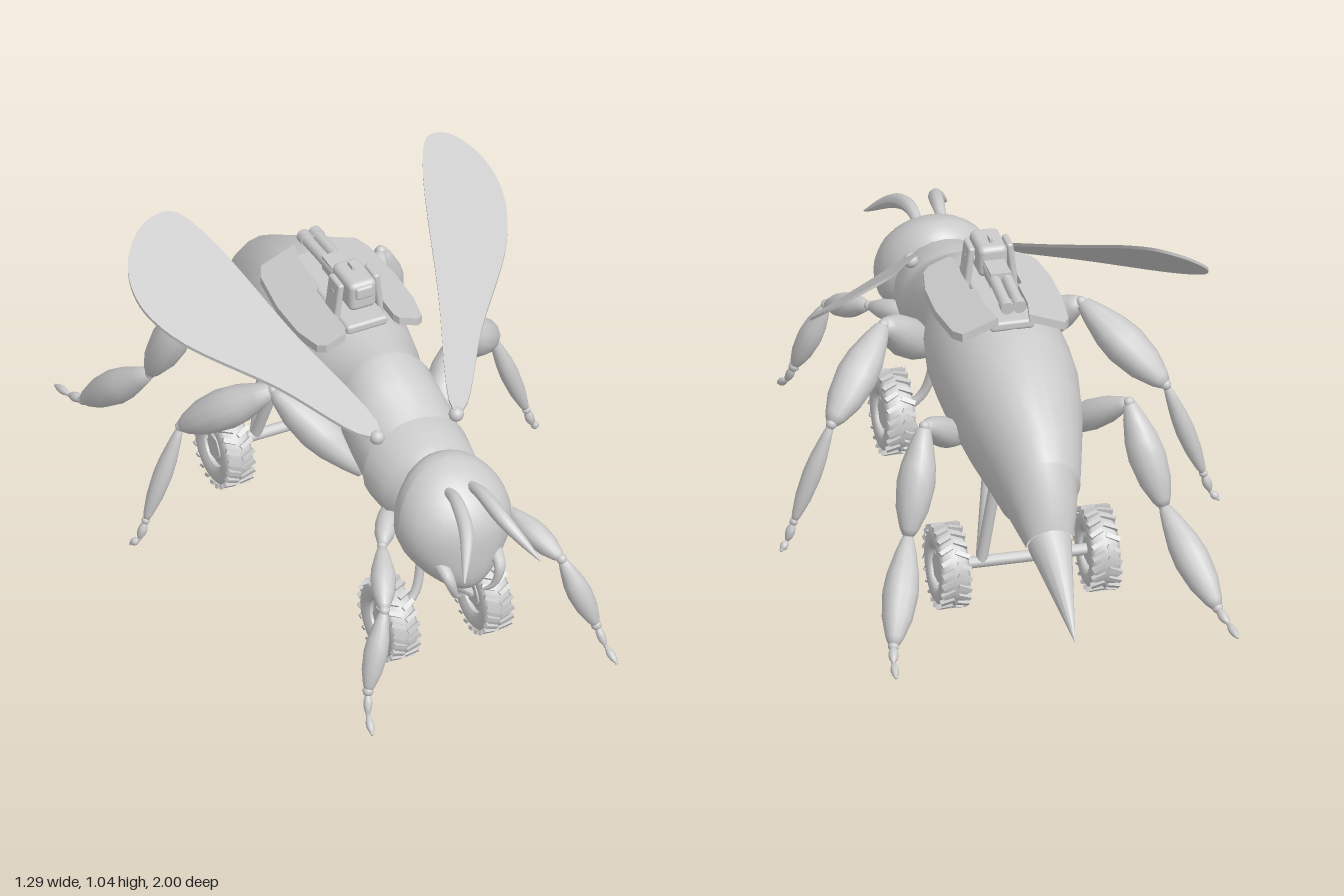
import * as THREE from 'three';
import { RoundedBoxGeometry } from 'three/addons/geometries/RoundedBoxGeometry.js';

const grey = new THREE.MeshStandardMaterial({ color: 0xcccccc });
const thin = new THREE.MeshStandardMaterial({ color: 0xcccccc, side: THREE.DoubleSide });
const V = (p) => new THREE.Vector3(...p);

function add(parent, name, geometry, position = [0, 0, 0], material = grey) {
  const mesh = new THREE.Mesh(geometry, material);
  mesh.name = name;
  mesh.position.set(...position);
  parent.add(mesh);
  return mesh;
}

// Places a unit-high, y-aligned geometry so that it runs from a to b
function between(parent, name, geometry, a, b) {
  const dir = V(b).sub(V(a));
  const mesh = add(parent, name, geometry, a);
  mesh.scale.y = dir.length();
  mesh.quaternion.setFromUnitVectors(new THREE.Vector3(0, 1, 0), dir.normalize());
  return mesh;
}

const rod = (parent, name, a, b, r, r2 = r) =>
  between(parent, name, new THREE.CylinderGeometry(r2, r, 1, 12).translate(0, 0.5, 0), a, b);

// Swollen limb segment
function spindle(parent, name, a, b, r) {
  const profile = [[0, 0], [0.35, 0.02], [0.6, 0.15], [0.9, 0.35], [1, 0.52], [0.85, 0.75], [0.5, 0.93], [0.3, 0.99], [0, 1]];
  return between(parent, name, new THREE.LatheGeometry(profile.map(([x, y]) => new THREE.Vector2(x * r, y)), 12), a, b);
}

// Tube whose radius follows a rule along its length
function taperedTube(parent, name, points, r, rule) {
  const path = new THREE.CatmullRomCurve3(points.map(V)), n = 18, k = 10;
  const g = new THREE.TubeGeometry(path, n, r, k), pos = g.attributes.position, v = new THREE.Vector3();
  for (let i = 0; i < pos.count; i++) {
    const t = Math.floor(i / (k + 1)) / n, c = path.getPointAt(t);
    v.fromBufferAttribute(pos, i).sub(c).multiplyScalar(rule(t)).add(c);
    pos.setXYZ(i, v.x, v.y, v.z);
  }
  g.computeVertexNormals();
  return add(parent, name, g, [0, 0, 0], thin);
}

// Thin sheet outlined in plan (x, z) and lifted on to a sloping plane
function sheet(parent, name, outline, thickness, height) {
  const g = new THREE.ExtrudeGeometry(new THREE.Shape(outline), { depth: thickness, bevelEnabled: false });
  const pos = g.attributes.position;
  for (let i = 0; i < pos.count; i++) {
    const x = pos.getX(i), z = pos.getY(i);
    pos.setXYZ(i, x, height(x, z) - pos.getZ(i), z);
  }
  g.computeVertexNormals();
  return add(parent, name, g, [0, 0, 0], thin);
}

// Elliptical sections: z, y, half width, half height, tilt
function bodyGeometry() {
  const rows = [
    [0.56, 0.52, 0.09, 0.12, 0], [0.53, 0.53, 0.15, 0.145, 0], [0.42, 0.545, 0.165, 0.147, 0],
    [0.415, 0.547, 0.157, 0.14, 0], [0.33, 0.585, 0.158, 0.155, 0], [0.24, 0.615, 0.15, 0.177, 0],
    [0.2, 0.61, 0.137, 0.175, 0], [0.1, 0.6, 0.17, 0.198, 0], [0, 0.6, 0.19, 0.205, 0],
    [-0.15, 0.6, 0.2, 0.212, 0], [-0.28, 0.585, 0.193, 0.212, 0.1], [-0.4, 0.545, 0.172, 0.207, 0.22],
    [-0.53, 0.48, 0.135, 0.18, 0.4], [-0.59, 0.44, 0.117, 0.153, 0.45], [-0.595, 0.437, 0.108, 0.145, 0.45],
    [-0.65, 0.395, 0.092, 0.112, 0.5], [-0.7, 0.335, 0.068, 0.062, 0.5]];
  const n = 24, positions = [], index = [];
  rows.forEach(([z, y, rx, ry, t], i) => {
    for (let j = 0; j < n; j++) {
      const a = j / n * Math.PI * 2, h = ry * Math.cos(a);
      positions.push(rx * Math.sin(a), y + h * Math.cos(t), z - h * Math.sin(t));
      if (i === rows.length - 1) continue;
      const p = i * n + j, q = i * n + (j + 1) % n;
      index.push(p, q, p + n, q, q + n, p + n);
    }
  });
  const g = new THREE.BufferGeometry();
  g.setAttribute('position', new THREE.Float32BufferAttribute(positions, 3));
  g.setIndex(index);
  g.computeVertexNormals();
  return g;
}

// Egg-shaped head, narrowing downward to the mouth
function headGeometry() {
  const g = new THREE.SphereGeometry(1, 24, 18), pos = g.attributes.position;
  for (let i = 0; i < pos.count; i++) {
    const x = pos.getX(i), y = pos.getY(i), z = pos.getZ(i), low = Math.min(y, 0) ** 2;
    pos.setXYZ(i, x * 0.173 * (1 - 0.3 * low), y * 0.185, z * 0.145 + 0.07 * low - 0.05 * Math.max(y, 0) ** 2);
  }
  g.computeVertexNormals();
  return g;
}

// Knobbly off-road wheel, axle along x
function wheel(parent, name, x, y, z) {
  const g = new THREE.Group();
  g.name = name;
  g.position.set(x, y, z);
  parent.add(g);
  const tyre = [[0.06, -0.032], [0.075, -0.043], [0.1, -0.043], [0.114, -0.032], [0.117, 0],
    [0.114, 0.032], [0.1, 0.043], [0.075, 0.043], [0.06, 0.032], [0.06, -0.032]].map((p) => new THREE.Vector2(...p));
  add(g, 'tyre', new THREE.LatheGeometry(tyre, 32).rotateZ(-Math.PI / 2));
  add(g, 'rim', new THREE.CylinderGeometry(0.062, 0.062, 0.04, 24).rotateZ(Math.PI / 2));
  add(g, 'hub', new THREE.CylinderGeometry(0.04, 0.045, 0.066, 6).rotateZ(Math.PI / 2));
  for (let i = 0; i < 22; i++) for (const s of [-1, 1]) {
    const lug = new THREE.BoxGeometry(0.042, 0.014, 0.013).rotateY(s * 0.45).translate(s * 0.023, 0.116, 0);
    add(g, 'treadLug', lug.rotateX((i + (s > 0 ? 0.5 : 0)) / 22 * Math.PI * 2));
  }
}

export function createModel() {
  const model = new THREE.Group();
  model.name = 'wheeledWasp';
  add(model, 'body', bodyGeometry());
  add(model, 'head', headGeometry(), [0, 0.507, 0.665]);
  rod(model, 'stinger', [0, 0.335, -0.7], [0, 0.17, -1], 0.065, 0.001);

  // Leg joints from hip to toe, with the thickness of each segment
  const legs = {
    frontLeg: [[[0.1, 0.47, 0.47], [0.2, 0.44, 0.62], [0.28, 0.36, 0.8], [0.36, 0.14, 0.86], [0.375, 0.08, 0.89], [0.385, 0.05, 0.94]],
      [0.033, 0.037, 0.036, 0.013, 0.012]],
    middleLeg: [[[0.1, 0.45, 0.3], [0.29, 0.665, 0.09], [0.49, 0.47, -0.1], [0.6, 0.17, -0.1], [0.62, 0.11, -0.1], [0.64, 0.09, -0.115]],
      [0.06, 0.062, 0.028, 0.014, 0.012]],
    hindLeg: [[[0.13, 0.43, -0.2], [0.3, 0.61, -0.43], [0.375, 0.32, -0.54], [0.475, 0.1, -0.77], [0.49, 0.08, -0.83], [0.5, 0.07, -0.9]],
      [0.045, 0.056, 0.052, 0.015, 0.012]],
  };

  for (const s of [-1, 1]) {
    const side = new THREE.Group();
    side.name = s > 0 ? 'leftSide' : 'rightSide';
    model.add(side);
    const m = ([x, y, z]) => [s * x, y, z];

    for (const [name, [joints, radii]] of Object.entries(legs)) {
      const leg = new THREE.Group();
      leg.name = name;
      side.add(leg);
      radii.forEach((r, i) => {
        spindle(leg, 'legSegment', m(joints[i]), m(joints[i + 1]), r);
        add(leg, 'legJoint', new THREE.SphereGeometry(Math.min(r * 0.45, 0.016), 10, 8), m(joints[i + 1]));
      });
    }

    taperedTube(side, 'antenna', [[0.035, 0.64, 0.7], [0.04, 0.655, 0.77], [0.06, 0.625, 0.88], [0.12, 0.54, 0.995]].map(m),
      0.019, (t) => 0.7 + 0.5 * Math.sin(t * Math.PI) - 0.55 * t ** 3);
    taperedTube(side, 'mandible', [[0.085, 0.44, 0.75], [0.08, 0.41, 0.81], [0.06, 0.35, 0.81], [0.035, 0.325, 0.79]].map(m),
      0.026, (t) => 1 - 0.85 * t);

    // Wing and its root joint
    const outline = new THREE.CatmullRomCurve3([[0.115, 0, 0.43], [0.23, 0, 0.09], [0.355, 0, -0.27], [0.41, 0, -0.345],
      [0.49, 0, -0.355], [0.56, 0, -0.3], [0.578, 0, -0.21], [0.53, 0, -0.08], [0.32, 0, 0.19], [0.15, 0, 0.425]].map(V), true);
    sheet(side, 'wing', outline.getPoints(60).slice(0, -1).map((p) => new THREE.Vector2(s * p.x, p.z)), 0.01,
      (x, z) => 0.69 - 0.466 * (s * x - 0.13) - 0.626 * (z - 0.43));
    add(side, 'wingJoint', new THREE.SphereGeometry(0.022, 14, 10), m([0.125, 0.675, 0.43]));

    // Back panel beside the turret
    sheet(side, 'backPanel', [[0.045, -0.28], [0.15, -0.28], [0.17, -0.24], [0.185, -0.1], [0.183, 0.03], [0.165, 0.12],
      [0.145, 0.14], [0.085, 0.14], [0.075, 0.12], [0.075, -0.07], [0.06, -0.09], [0.06, -0.2]]
      .map(([x, z]) => new THREE.Vector2(s * x, z)), 0.025, (x) => 0.835 - 0.38 * (s * x - 0.08));

    // Turret side bracket
    const bracket = add(side, 'turretBracket', new RoundedBoxGeometry(0.02, 0.15, 0.07, 2, 0.008), m([0.064, 0.86, 0.02]));
    bracket.rotation.z = s * 0.12;

    // Undercarriage
    wheel(side, 'frontWheel', s * 0.147, 0.125, 0.555);
    wheel(side, 'rearWheel', s * 0.22, 0.125, -0.38);
    taperedTube(side, 'frontFork', [[0.022, 0.38, 0.525], [0.035, 0.27, 0.53], [0.06, 0.18, 0.545], [0.115, 0.125, 0.555]].map(m), 0.014, () => 1);
    rod(side, 'rearStrut', m([0.07, 0.45, -0.28]), m([0.12, 0.13, -0.38]), 0.017);
    rod(side, 'rearStrut', m([0.07, 0.47, -0.4]), m([0.12, 0.13, -0.38]), 0.017);
  }

  add(model, 'forkMount', new RoundedBoxGeometry(0.08, 0.06, 0.06, 2, 0.01), [0, 0.385, 0.525]);
  rod(model, 'rearAxle', [-0.2, 0.125, -0.38], [0.2, 0.125, -0.38], 0.017);

  // Turret: base, housing, sight and rear-facing barrels
  add(model, 'turretBase', new RoundedBoxGeometry(0.13, 0.03, 0.38, 2, 0.01), [0, 0.81, -0.08]);
  add(model, 'turretHousing', new RoundedBoxGeometry(0.085, 0.095, 0.13, 3, 0.018), [0, 0.898, 0.02]);
  add(model, 'housingWindow', new RoundedBoxGeometry(0.055, 0.04, 0.02, 2, 0.008), [0, 0.915, 0.083]);
  add(model, 'sight', new THREE.BoxGeometry(0.008, 0.02, 0.03), [0, 0.948, 0]);
  rod(model, 'pivotPin', [-0.07, 0.89, 0.02], [0.07, 0.89, 0.02], 0.015);
  add(model, 'receiver', new THREE.BoxGeometry(0.06, 0.045, 0.1), [0, 0.885, -0.08]);
  for (const x of [-0.018, 0.018]) {
    rod(model, 'barrel', [x, 0.892, -0.05], [x, 0.875, -0.27], 0.017);
    rod(model, 'muzzle', [x, 0.877, -0.25], [x, 0.874, -0.28], 0.02);
  }
  return model;
}
